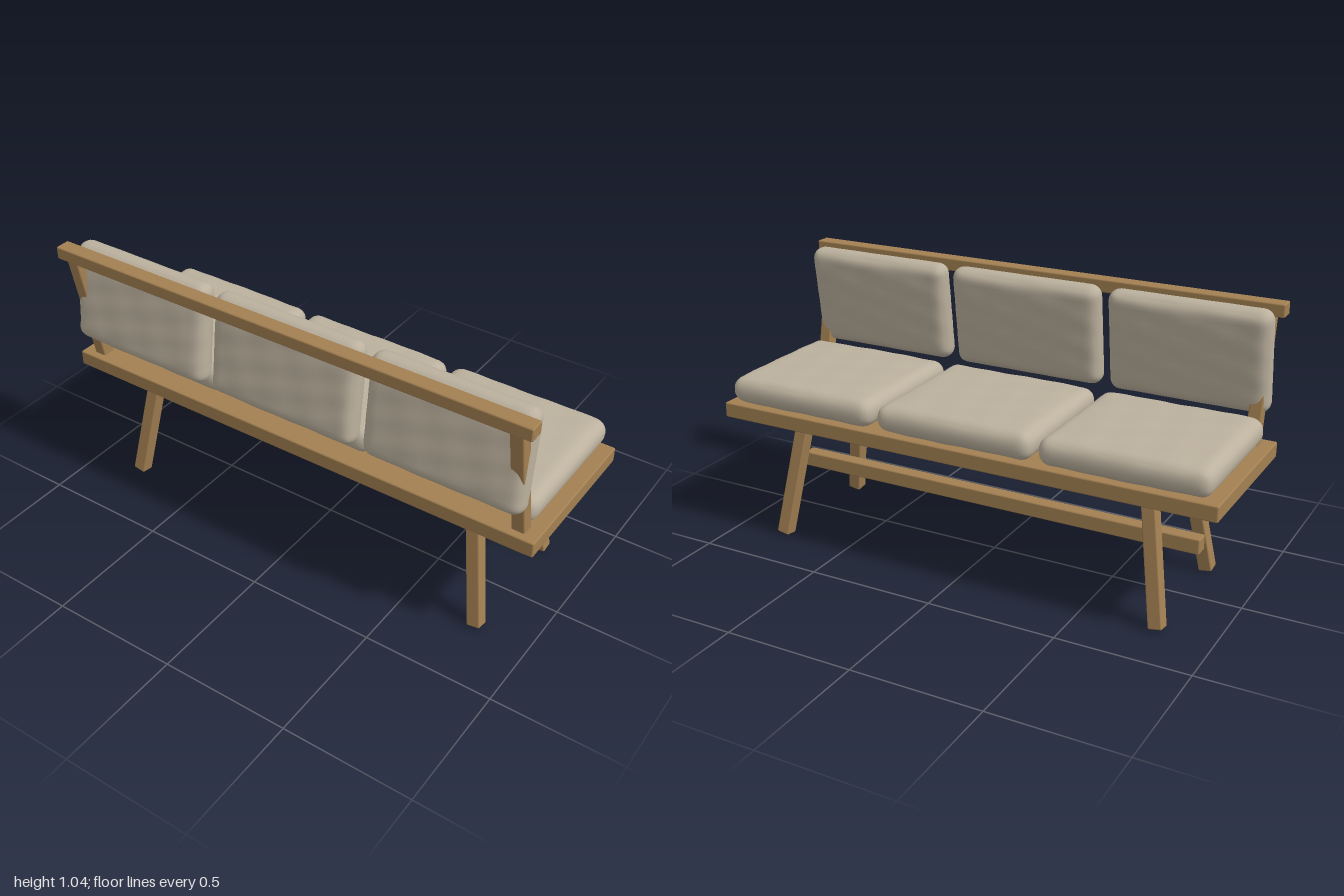
import * as THREE from 'three';
import { mergeVertices } from 'three/addons/utils/BufferGeometryUtils.js';
import { RoundedBoxGeometry } from 'three/addons/geometries/RoundedBoxGeometry.js';

const wood = new THREE.MeshStandardMaterial({ color: 0xa38052 });
wood.name = 'oak wood';
const fabric = new THREE.MeshStandardMaterial({ color: 0xbcb19e });
fabric.name = 'linen fabric';

function add(group, name, geometry, material, x, y, z) {
  const mesh = new THREE.Mesh(geometry, material);
  mesh.name = name;
  mesh.position.set(x, y, z);
  group.add(mesh);
  return mesh;
}

// Wooden board with softened edges
const board = (w, h, d) => new RoundedBoxGeometry(w, h, d, 2, 0.006);

// Square bar running from point a to point b
function bar(group, name, a, b, width) {
  const start = new THREE.Vector3(...a);
  const dir = new THREE.Vector3(...b).sub(start);
  const mid = start.clone().addScaledVector(dir, 0.5);
  const mesh = add(group, name, board(width, dir.length(), width), wood, mid.x, mid.y, mid.z);
  mesh.quaternion.setFromUnitVectors(new THREE.Vector3(0, 1, 0), dir.normalize());
}

// Soft cushion lying flat: rounded rim, gently domed faces, faint wrinkles
function cushion(w, h, d, r, dome, phase) {
  const geo = new THREE.BoxGeometry(2, 2, 2, 30, 10, 30);
  geo.deleteAttribute('uv');
  geo.deleteAttribute('normal');
  const merged = mergeVertices(geo);
  const pos = merged.attributes.position;
  const half = new THREE.Vector3(w / 2, h / 2 - dome, d / 2);
  const inner = half.clone().subScalar(r);
  const p = new THREE.Vector3();
  const core = new THREE.Vector3();
  const ease = (t) => Math.sin(t * Math.PI / 2); // crowds vertices toward the rim
  for (let i = 0; i < pos.count; i++) {
    p.set(ease(pos.getX(i)), ease(pos.getY(i)), ease(pos.getZ(i)));
    const u = p.x, v = p.y, t = p.z;
    p.multiply(half);
    core.copy(p).clamp(inner.clone().negate(), inner);
    p.sub(core).setLength(r).add(core);
    const bulge = (1 - u ** 4) * (1 - t ** 4);
    const wrinkle = 0.0018 * Math.sin(9 * u + 5 * t + phase) * Math.cos(7 * t - 4 * u + phase * 2);
    p.y += v * (dome * bulge + wrinkle);
    pos.setXYZ(i, p.x, p.y, p.z);
  }
  merged.computeVertexNormals();
  return merged;
}

export function createModel() {
  const bench = new THREE.Group();
  bench.name = 'bench';

  // Frame
  add(bench, 'seatBoard', board(2, 0.06, 0.627), wood, 0, 0.511, -0.028);
  add(bench, 'topRail', board(1.97, 0.05, 0.06), wood, 0, 1.02, 0.325);
  add(bench, 'stretcher', board(1.696, 0.06, 0.056), wood, 0, 0.23, -0.028);

  for (const side of [-1, 1]) {
    const label = side > 0 ? 'left' : 'right';
    bar(bench, label + 'BackPost', [side * 0.925, 0.52, 0.227], [side * 0.925, 1.005, 0.32], 0.05);
    // Splayed legs
    for (const z of [-1, 1]) {
      const at = (offset) => -0.028 + z * offset;
      bar(bench, label + (z > 0 ? 'RearLeg' : 'FrontLeg'),
        [side * 0.79, 0.009, at(0.252)], [side * 0.712, 0.488, at(0.182)], 0.053);
    }
  }

  // Seat and back cushions
  for (let i = 0; i < 3; i++) {
    const x = -0.004 + (i - 1) * 0.653;
    add(bench, 'seatCushion', cushion(0.63, 0.117, 0.58, 0.046, 0.008, i * 1.7), fabric, x, 0.6, -0.06);
    const back = add(bench, 'backCushion', cushion(0.618, 0.106, 0.397, 0.043, 0.008, i * 2.3 + 1),
      fabric, x, 0.839, 0.262);
    back.rotation.x = Math.PI / 2 - 0.13;
  }
  return bench;
}
